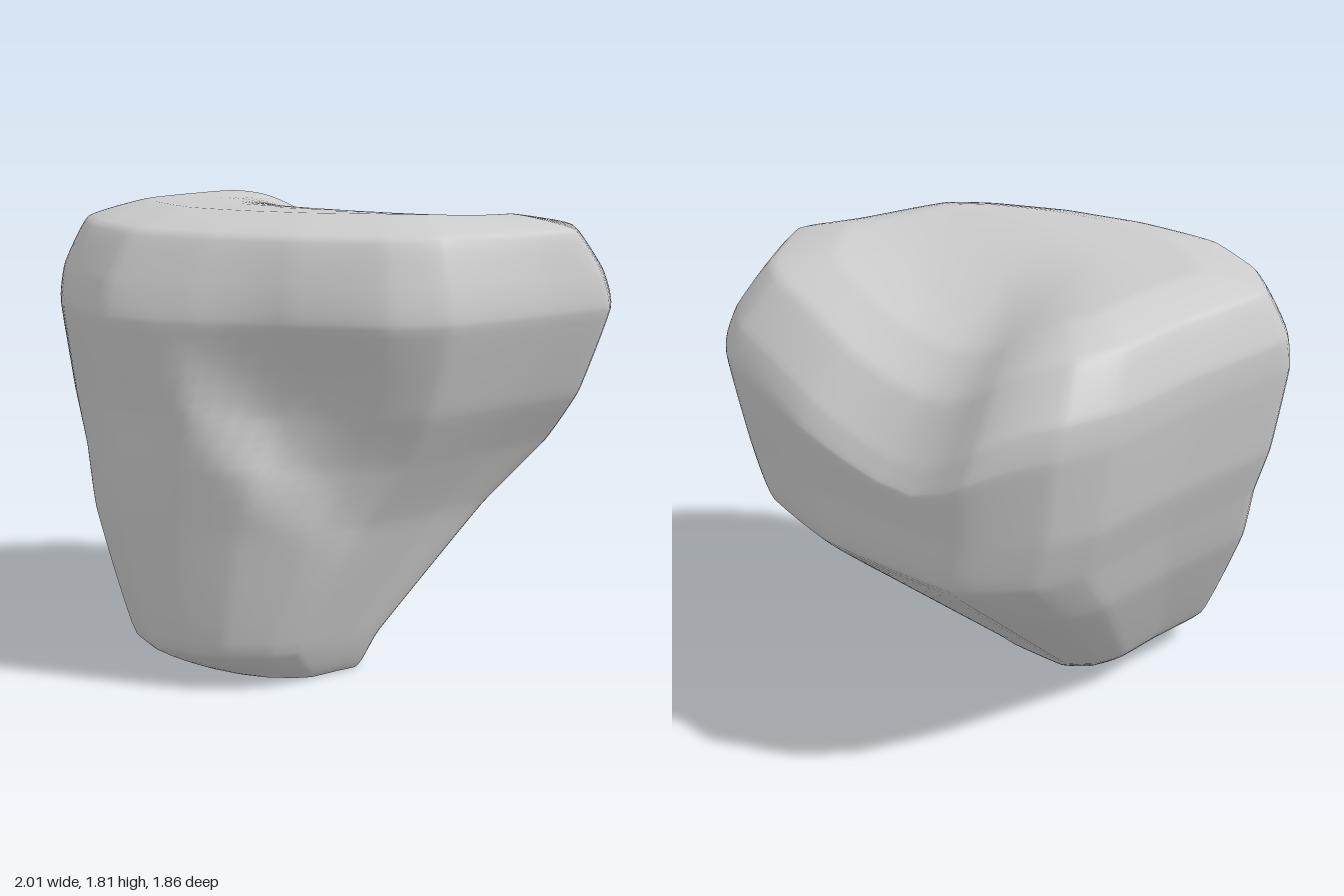
import * as THREE from 'three';

const { smoothstep, mapLinear } = THREE.MathUtils;

// Girth outline (x, z), from the front round by the model's left, back and right
const outline = [
  [-0.47, 0.93], [-0.1, 0.91], [0.25, 0.81], [0.57, 0.61], [0.75, 0.42], [0.9, -0.04], [1, -0.34],
  [0.82, -0.7], [0.65, -0.83], [0.13, -0.93], [-0.63, -0.89], [-0.89, -0.68], [-0.97, -0.45],
  [-0.97, 0], [-1, 0.53], [-0.8, 0.76],
];
// Extent of the rock at each height: y, x min, x max, z min, z max
const levels = [
  [0, -0.35, 0.22, 0.1, 0.58],
  [0.15, -0.56, 0.3, -0.08, 0.84],
  [0.62, -0.8, 0.55, -0.63, 0.89],
  [0.87, -0.88, 0.73, -0.91, 0.9],
  [1.08, -0.95, 0.87, -0.92, 0.9],
  [1.42, -1, 1, -0.93, 0.93],
  [1.56, -1, 0.98, -0.87, 0.88],
  [1.74, -0.92, 0.9, -0.7, 0.77],
  [1.81, -0.72, 0.66, -0.49, 0.53],
];
const STEPS = 6; // subdivisions between control points
const TENSION = 0.2; // low, to keep the facets fairly flat
const footCentre = new THREE.Vector3(-0.07, 0, 0.35);
const crownCentre = new THREE.Vector3(-0.1, 1.81, -0.1);

// Broad slope falling from the middle of the crown to the back right corner
function saddle(p) {
  const side = p.x + 0.1 - 0.35 * (p.z + 0.1);
  const across = Math.exp(-((side / (side > 0 ? 0.65 : 0.35)) ** 2));
  p.y -= 0.27 * across * (1 - smoothstep(p.z, -0.8, 0.35)) * smoothstep(p.y, 1, 1.6);
}

// Hollow on the front, with a step along a slanting crack
function hollow(p) {
  const pastCrack = 0.82 * (p.x + 0.1) + 0.57 * (p.y - 1.18);
  const falloff = Math.exp(-(((p.x - 0.22) / 0.32) ** 2) - ((p.y - 1.12) / 0.45) ** 2);
  p.z -= 0.13 * falloff * smoothstep(pastCrack, -0.08, 0.1) * smoothstep(p.z, 0.2, 0.5);
}

function boulderGeometry() {
  // One upright curve per outline point, from the foot centre to the crown centre
  const uprights = outline.map(([x, z]) => {
    const points = levels.map(([y, x0, x1, z0, z1]) => new THREE.Vector3(
      mapLinear(x, -1, 1, x0, x1), y, mapLinear(z, -0.93, 0.93, z0, z1)));
    const inner = points[points.length - 1].clone().lerp(crownCentre, 0.5);
    return new THREE.CatmullRomCurve3(
      [footCentre, ...points, inner, crownCentre], false, 'catmullrom', TENSION);
  });
  const rows = (levels.length + 2) * STEPS;
  const around = outline.length * STEPS;
  const positions = [];
  const indices = [];

  // Closed rings through the uprights
  for (let r = 0; r <= rows; r++) {
    const ring = new THREE.CatmullRomCurve3(
      uprights.map((u) => u.getPoint(r / rows)), true, 'catmullrom', TENSION);
    for (let a = 0; a < around; a++) {
      const p = ring.getPoint(a / around);
      p.y = THREE.MathUtils.clamp(p.y, 0, 1.81);
      hollow(p);
      saddle(p);
      positions.push(p.x, p.y, p.z);
    }
  }
  for (let r = 0; r < rows; r++) {
    for (let a = 0; a < around; a++) {
      const p = r * around + a;
      const q = r * around + (a + 1) % around;
      indices.push(p, q, q + around, p, q + around, p + around);
    }
  }
  const geometry = new THREE.BufferGeometry();
  geometry.setAttribute('position', new THREE.Float32BufferAttribute(positions, 3));
  geometry.setIndex(indices);
  geometry.computeVertexNormals();
  return geometry;
}

export function createModel() {
  const group = new THREE.Group();
  group.name = 'rock';
  const boulder = new THREE.Mesh(
    boulderGeometry(), new THREE.MeshStandardMaterial({ color: 0xcccccc }));
  boulder.name = 'boulder';
  group.add(boulder);
  return group;
}
